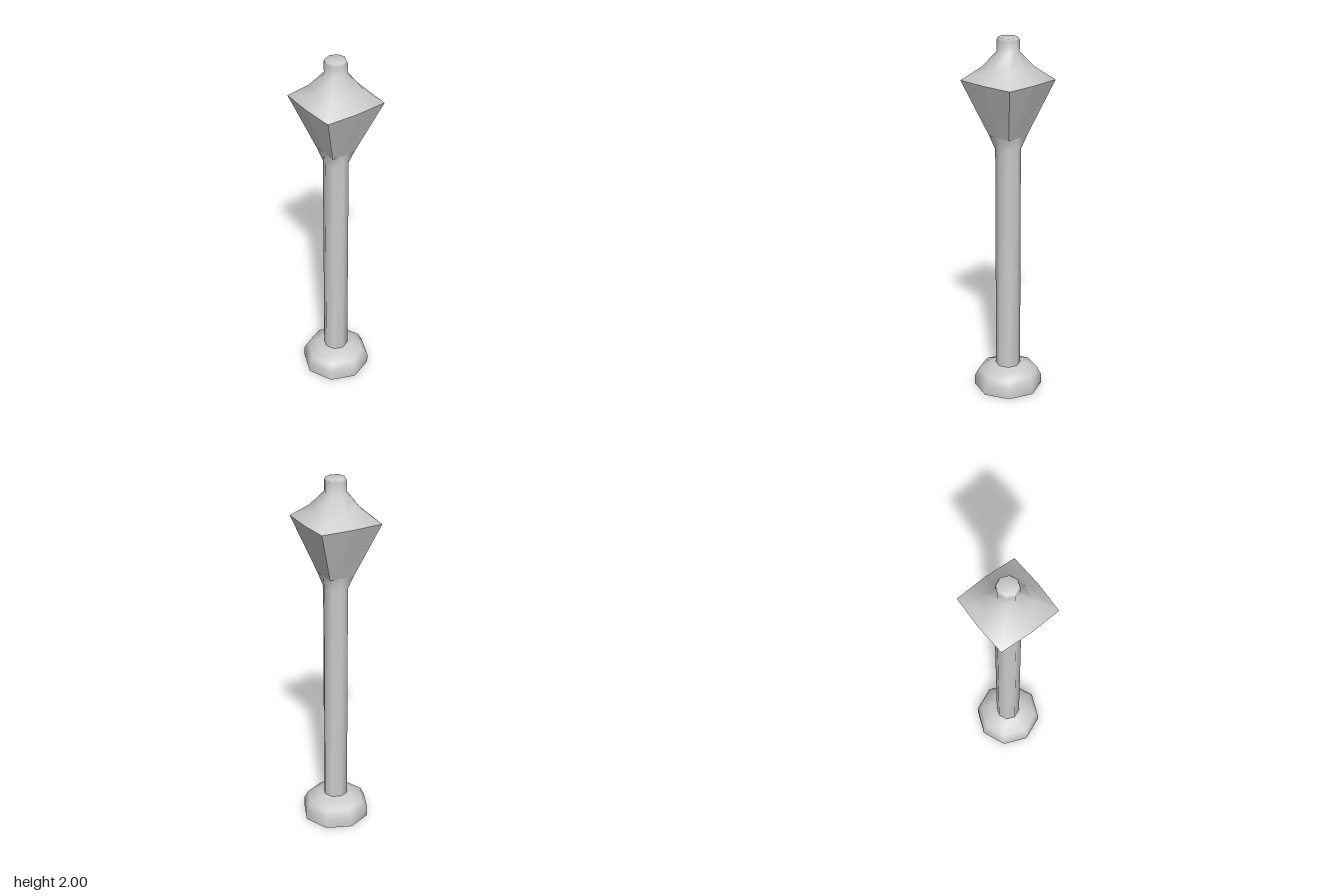
import * as THREE from 'three';

const SIDES = 8;

// Skin of stacked eight-point rings: [height, radius on the axes, radius on the diagonals]
function loft(rings, capped = false) {
  const pos = [], index = [];
  for (const [y, axis, diagonal = axis] of rings) {
    for (let i = 0; i < SIDES; i++) {
      const a = (i / SIDES) * Math.PI * 2;
      const r = i % 2 ? diagonal : axis;
      pos.push(Math.cos(a) * r, y, Math.sin(a) * r);
    }
  }
  for (let k = 0; k < rings.length - 1; k++) {
    for (let i = 0; i < SIDES; i++) {
      const a = k * SIDES + i, b = k * SIDES + ((i + 1) % SIDES);
      index.push(a, a + SIDES, b, b, a + SIDES, b + SIDES);
    }
  }
  if (capped) {
    const top = (rings.length - 1) * SIDES, centre = rings.length * SIDES;
    pos.push(0, rings[rings.length - 1][0], 0);
    for (let i = 0; i < SIDES; i++) index.push(top + i, centre, top + ((i + 1) % SIDES));
  }
  const geo = new THREE.BufferGeometry();
  geo.setAttribute('position', new THREE.Float32BufferAttribute(pos, 3));
  geo.setIndex(index);
  geo.computeVertexNormals();
  return geo;
}

export function createModel() {
  const group = new THREE.Group();
  const add = (name, rings, { capped = false, flat = false } = {}) => {
    const material = new THREE.MeshStandardMaterial({
      color: 0xcccccc, side: THREE.DoubleSide, flatShading: flat,
    });
    const mesh = new THREE.Mesh(loft(rings, capped), material);
    mesh.name = name;
    group.add(mesh);
  };

  // Rounded foot, open underneath
  add('base', [[0, 0.188], [0.055, 0.188], [0.1, 0.165], [0.122, 0.11], [0.135, 0.068]]);

  // Octagonal post that flares into a square collar
  add('post', [[0.135, 0.068], [1.4, 0.068], [1.475, 0.072, 0.1]]);

  // Square lantern panes widening upwards
  add('lanternPanes', [[1.475, 0.072, 0.1], [1.775, 0.183, 0.247]], { flat: true });

  // Concave roof sweeping from a square eave into the round finial
  add('lanternRoof', [
    [1.775, 0.183, 0.247], [1.845, 0.115, 0.138], [1.925, 0.06], [1.985, 0.06], [2, 0.053],
  ], { capped: true });

  return group;
}
